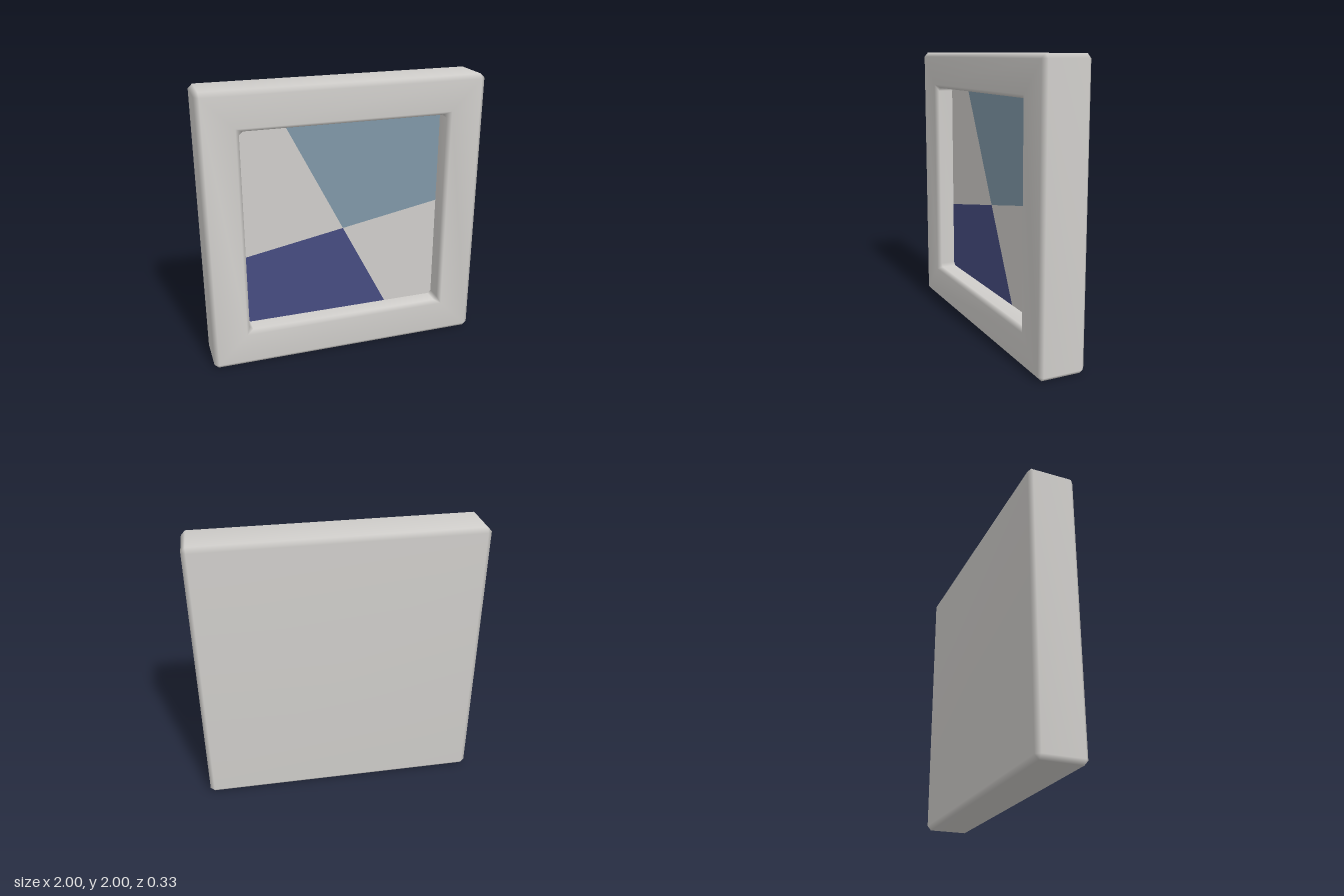
import * as THREE from 'three';
import { mergeVertices } from 'three/addons/utils/BufferGeometryUtils.js';

const plaster = new THREE.MeshStandardMaterial({ color: 0xd0cecb });
plaster.name = 'pale grey';
const paleBlue = new THREE.MeshStandardMaterial({ color: 0x8098a8 });
paleBlue.name = 'dusty blue';
const navy = new THREE.MeshStandardMaterial({ color: 0x464c81 });
navy.name = 'navy';

const MID = 1; // height of the frame's centre

// Square of half-size h with corners cut by c, counterclockwise from the front
function cutSquare(h, c, z) {
  const points = [];
  for (let k = 0; k < 4; k++) {
    for (const [x, y] of [[h, h - c], [h - c, h]]) {
      const [cos, sin] = [[1, 0], [0, 1], [-1, 0], [0, -1]][k];
      points.push([x * cos - y * sin, MID + x * sin + y * cos, z]);
    }
  }
  return points;
}

// Skins the square rings in order, with smooth shared normals
function skinRings(rings) {
  const positions = [], index = [];
  rings.forEach(([h, c, z]) => positions.push(...cutSquare(h, c, z).flat()));
  for (let i = 0; i < rings.length - 1; i++) {
    for (let j = 0; j < 8; j++) {
      const a = i * 8 + j, b = i * 8 + (j + 1) % 8;
      index.push(a, b, b + 8, a, b + 8, a + 8);
    }
  }
  let geometry = new THREE.BufferGeometry();
  geometry.setAttribute('position', new THREE.Float32BufferAttribute(positions, 3));
  geometry.setIndex(index);
  geometry = mergeVertices(geometry);
  geometry.computeVertexNormals();
  return geometry;
}

// Flat coloured part of the recessed panel
function panelPiece(name, points, material) {
  const shape = new THREE.Shape(points.map(([x, y]) => new THREE.Vector2(x, y)));
  const mesh = new THREE.Mesh(new THREE.ShapeGeometry(shape), material);
  mesh.name = name;
  mesh.position.z = 0.025;
  return mesh;
}

export function createModel() {
  const group = new THREE.Group();
  group.name = 'framedPanel';

  // Frame: back, bevelled outer wall, front rim, bevelled inner wall
  const frame = new THREE.Mesh(skinRings([
    [0, 0, -0.168],
    [0.968, 0, -0.168],
    [1, 0.03, -0.14],
    [1, 0.03, 0.137],
    [0.968, 0, 0.165],
    [0.755, 0, 0.165],
    [0.73, 0.025, 0.135],
    [0.73, 0.025, 0.025],
  ]), plaster);
  frame.name = 'frame';
  group.add(frame);

  // Panel: four wedges meeting just below the middle
  const e = 0.73, c = 0.025, top = MID + e, low = MID - e;
  const hub = [0.005, 0.92];
  const topCut = [-0.41, top], rightCut = [e, 1.053];
  const lowCut = [0.34, low], leftCut = [-e, 0.785];
  group.add(
    panelPiece('upperBlueWedge', [hub, rightCut, [e, top - c], [e - c, top], topCut], paleBlue),
    panelPiece('upperPaleWedge', [hub, topCut, [c - e, top], [-e, top - c], leftCut], plaster),
    panelPiece('lowerNavyWedge', [hub, leftCut, [-e, low + c], [c - e, low], lowCut], navy),
    panelPiece('lowerPaleWedge', [hub, lowCut, [e - c, low], [e, low + c], rightCut], plaster),
  );
  return group;
}
